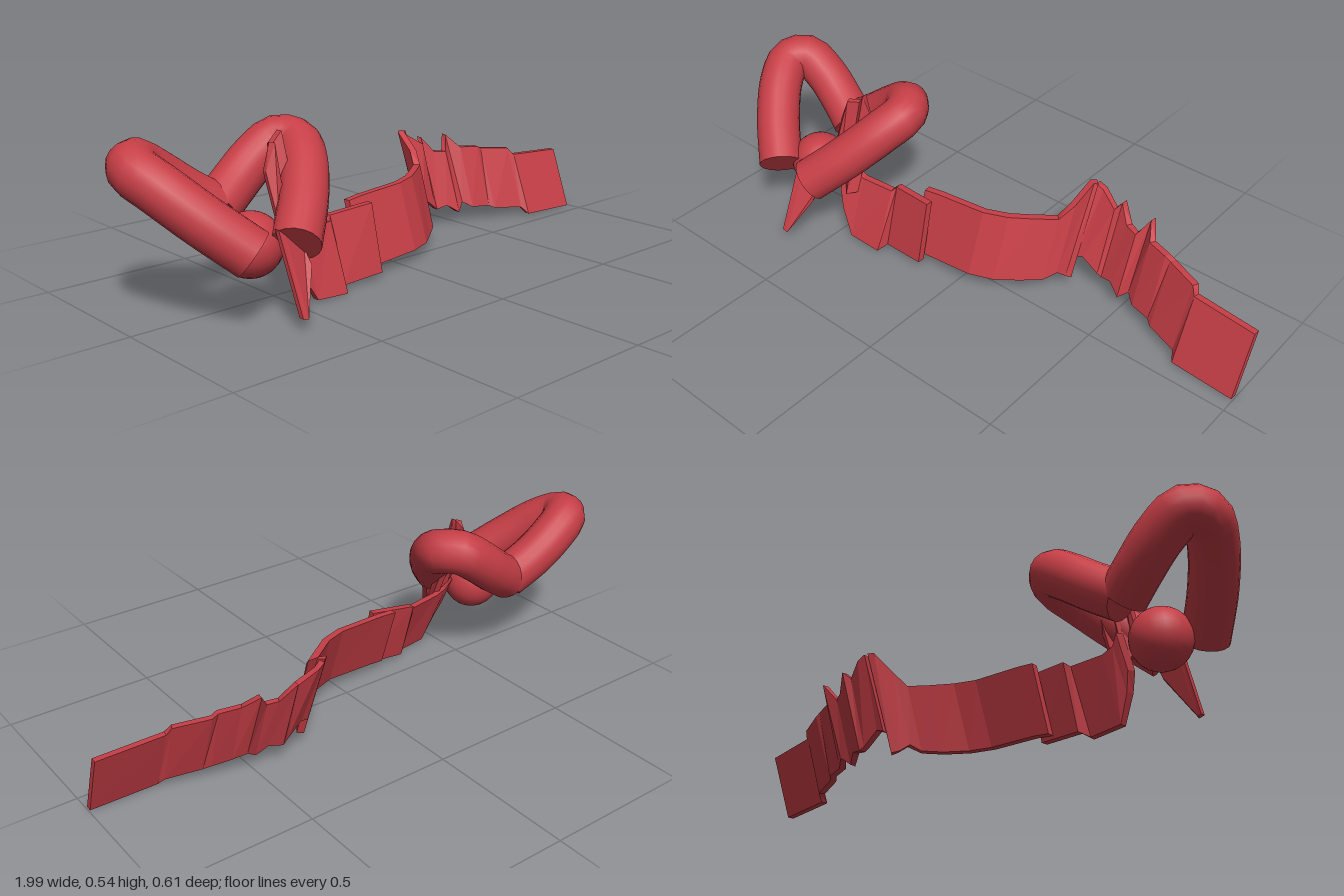
import * as THREE from 'three';

const red = new THREE.MeshStandardMaterial({ color: 0xc63e46, side: THREE.DoubleSide });
red.name = 'ribbon red';

const CX = -0.64; // middle of the bow
const R = 0.076; // loop thickness

function add(group, name, geometry) {
  const mesh = new THREE.Mesh(geometry, red);
  mesh.name = name;
  group.add(mesh);
  return mesh;
}

// Flat-faced band; each station is [x, bottom y, bottom z, top y, top z]
function bandGeometry(stations, thickness) {
  const rings = stations.map((s, i) => {
    const p = stations[Math.max(i - 1, 0)];
    const n = stations[Math.min(i + 1, stations.length - 1)];
    const dx = n[0] - p[0], dz = (n[2] + n[4] - p[2] - p[4]) / 2;
    const k = thickness / 2 / (Math.hypot(dx, dz) || 1);
    const ox = -dz * k, oz = dx * k;
    const [x, yb, zb, yt, zt] = s;
    return [
      [x + ox, yb, zb + oz], [x + ox, yt, zt + oz],
      [x - ox, yt, zt - oz], [x - ox, yb, zb - oz],
    ];
  });
  const pos = [];
  const quad = (a, b, c, d) => pos.push(...a, ...b, ...c, ...a, ...c, ...d);
  for (let i = 0; i < rings.length - 1; i++) {
    const A = rings[i], B = rings[i + 1];
    for (let k = 0; k < 4; k++) {
      const m = (k + 1) % 4;
      quad(A[k], B[k], B[m], A[m]);
    }
  }
  const last = rings[rings.length - 1];
  quad(...rings[0]);
  quad(last[3], last[2], last[1], last[0]);
  const g = new THREE.BufferGeometry();
  g.setAttribute('position', new THREE.Float32BufferAttribute(pos, 3));
  g.computeVertexNormals();
  return g;
}

// One padded bow loop; side is -1 or 1
function addLoop(group, side, name) {
  const path = [
    [0.075, 0.238, 0.205], [0.18, 0.34, 0.11], [0.255, 0.425, 0.015],
    [0.284, 0.466, -0.06], [0.25, 0.472, -0.112], [0.17, 0.42, -0.125],
    [0.09, 0.36, -0.115], [0, 0.3, -0.09],
  ].map(([x, y, z]) => new THREE.Vector3(CX + side * x, y, z));
  const curve = new THREE.CatmullRomCurve3(path);
  add(group, name, new THREE.TubeGeometry(curve, 28, R, 18));
  for (const t of [0, 1]) {
    const cap = add(group, name + 'End', new THREE.CircleGeometry(R, 18));
    const dir = curve.getTangent(t).multiplyScalar(t ? 1 : -1);
    cap.position.copy(curve.getPoint(t));
    cap.quaternion.setFromUnitVectors(new THREE.Vector3(0, 0, 1), dir);
  }
}

export function createModel() {
  const model = new THREE.Group();
  model.name = 'ribbonBow';

  // Heart-shaped bow
  const bow = new THREE.Group();
  bow.name = 'bow';
  addLoop(bow, -1, 'rightLoop');
  addLoop(bow, 1, 'leftLoop');
  const knot = add(bow, 'knot', new THREE.SphereGeometry(0.1, 24, 16));
  knot.position.set(CX, 0.225, 0.085);
  model.add(bow);

  // Short pointed tail hanging below the knot
  add(model, 'shortTail', bandGeometry([
    [-0.622, 0.05, 0.297, 0.29, 0.19],
    [-0.605, 0.045, 0.297, 0.28, 0.19],
    [-0.535, 0.175, 0.225, 0.22, 0.19],
  ], 0.018));

  // Crumpled start of the band inside the left loop
  add(model, 'gatheredFold', bandGeometry([
    [-0.55, 0.27, 0.1, 0.42, 0.04],
    [-0.52, 0.22, 0.11, 0.505, 0.04],
    [-0.5, 0.2, 0.09, 0.49, 0.0],
    [-0.47, 0.18, 0.12, 0.53, 0.01],
    [-0.455, 0.18, 0.09, 0.42, -0.01],
  ], 0.02));

  // Long wavy band
  add(model, 'bandStart', bandGeometry([
    [-0.51, 0.17, 0.1, 0.28, 0.05],
    [-0.485, 0.11, 0.12, 0.245, 0.06],
    [-0.44, 0.02, 0.135, 0.23, 0.06],
    [-0.32, 0.01, 0.13, 0.225, 0.045],
    [-0.305, 0.022, 0.09, 0.24, 0.03],
    [-0.145, 0.033, 0.1, 0.255, 0.05],
  ], 0.024));
  add(model, 'bandMiddle', bandGeometry([
    [-0.2, 0.04, 0.07, 0.262, 0.0],
    [-0.14, 0.047, 0.065, 0.268, -0.005],
    [0.04, 0.056, 0.055, 0.275, -0.02],
    [0.12, 0.057, 0.025, 0.278, -0.05],
    [0.19, 0.057, -0.03, 0.278, -0.1],
    [0.25, 0.065, -0.075, 0.28, -0.145],
    [0.275, 0.085, -0.11, 0.32, -0.19],
    [0.29, 0.06, -0.14, 0.375, -0.27],
    [0.305, 0.05, -0.16, 0.375, -0.28],
  ], 0.024));
  add(model, 'bandEnd', bandGeometry([
    [0.305, 0.12, -0.19, 0.37, -0.285],
    [0.33, 0.13, -0.195, 0.355, -0.29],
    [0.39, 0.085, -0.2, 0.315, -0.27],
    [0.405, 0.075, -0.205, 0.335, -0.295],
    [0.45, 0.085, -0.195, 0.28, -0.265],
    [0.49, 0.055, -0.175, 0.275, -0.25],
    [0.525, 0.085, -0.19, 0.33, -0.285],
    [0.56, 0.065, -0.165, 0.285, -0.235],
    [0.63, 0.06, -0.15, 0.28, -0.215],
    [0.65, 0.05, -0.135, 0.27, -0.215],
    [0.76, 0.04, -0.1, 0.26, -0.175],
    [0.775, 0.015, -0.075, 0.235, -0.16],
    [0.995, 0.01, -0.065, 0.225, -0.145],
  ], 0.022));

  return model;
}
